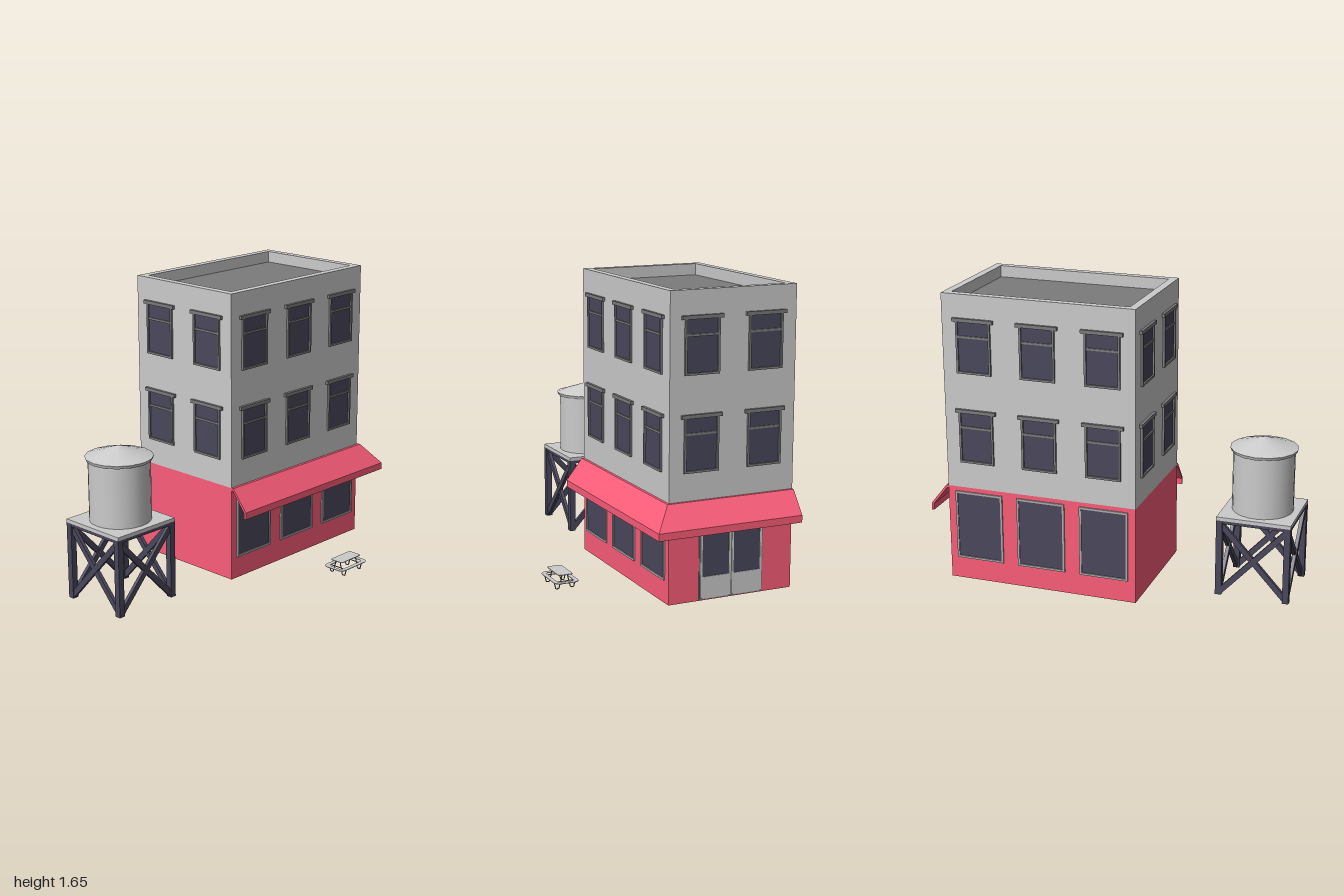
import * as THREE from 'three';

const mat = (color, opts = {}) => new THREE.MeshStandardMaterial({ color, ...opts });
const grey = mat(0xcccccc), red = mat(0xfb5d79), glass = mat(0x49475b), trim = mat(0x7c7c7c);
const shopTrim = mat(0xaaaaaa), awningRed = mat(0xfb5d79, { side: THREE.DoubleSide });

function add(parent, name, geometry, material, x = 0, y = 0, z = 0) {
  const m = new THREE.Mesh(geometry, material);
  m.name = name;
  m.position.set(x, y, z);
  parent.add(m);
  return m;
}
const box = (parent, name, material, w, h, d, x, y, z) =>
  add(parent, name, new THREE.BoxGeometry(w, h, d), material, x, y, z);

function group(parent, name, x = 0, y = 0, z = 0) {
  const g = new THREE.Group();
  g.name = name;
  g.position.set(x, y, z);
  parent.add(g);
  return g;
}

// Rectangle path with optional rounded corners, centred on the origin
function rect(PathType, w, h, r = 0) {
  const p = new PathType(), x = w / 2, y = h / 2;
  if (!r) {
    p.moveTo(-x, -y).lineTo(x, -y).lineTo(x, y).lineTo(-x, y).closePath();
    return p;
  }
  p.absarc(x - r, -y + r, r, -Math.PI / 2, 0);
  p.absarc(x - r, y - r, r, 0, Math.PI / 2);
  p.absarc(-x + r, y - r, r, Math.PI / 2, Math.PI);
  p.absarc(-x + r, -y + r, r, Math.PI, Math.PI * 1.5);
  p.closePath();
  return p;
}

// Plate with an optional rectangular opening; extruded along +z
function plate(w, h, depth, border = 0, r = 0) {
  const s = rect(THREE.Shape, w, h, r);
  if (border) s.holes.push(rect(THREE.Path, w - 2 * border, h - 2 * border, r * 0.6));
  return new THREE.ExtrudeGeometry(s, { depth, bevelEnabled: false, curveSegments: 5 });
}

// Sash window with a hood, standing on a wall whose outside is local +z
function sashWindow(wall, x, y) {
  const g = group(wall, 'window', x, y, 0);
  add(g, 'windowFrame', plate(0.2, 0.3, 0.012, 0.012), trim);
  box(g, 'windowGlass', glass, 0.18, 0.28, 0.004, 0, 0, 0.001);
  box(g, 'sashBar', trim, 0.18, 0.012, 0.008, 0, 0.055, 0.005);
  box(g, 'windowHood', trim, 0.236, 0.02, 0.016, 0, 0.148, 0.008);
}

function shopWindow(wall, x) {
  const g = group(wall, 'shopWindow', x, 0.325, 0);
  add(g, 'shopWindowFrame', plate(0.28, 0.4, 0.008, 0.012), shopTrim);
  box(g, 'shopWindowGlass', glass, 0.26, 0.38, 0.004, 0, 0, 0.001);
}

function doubleDoor(wall) {
  const g = group(wall, 'doubleDoor');
  box(g, 'doorFrame', trim, 0.38, 0.485, 0.006, 0, 0.2475, 0.001);
  for (const s of [-1, 1]) {
    add(g, 'doorLeaf', plate(0.18, 0.465, 0.006, 0.011), grey, s * 0.093, 0.2475, 0.002);
    box(g, 'doorPanel', grey, 0.16, 0.12, 0.006, s * 0.093, 0.07, 0.005);
    box(g, 'doorGlass', glass, 0.16, 0.34, 0.004, s * 0.093, 0.3, 0.003);
  }
}

// Mitred awning: one profile swept round the front right corner
function awningGeometry() {
  const profile = [[0, 0.55], [0.015, 0.55], [0.11, 0.43], [0.11, 0.39],
    [0.097, 0.39], [0.097, 0.425], [0.01, 0.535], [0, 0.535]];
  const path = [[-0.21, 0.145, 0, 1], [0.89, 0.145, 1, 1], [0.89, -0.59, 1, 0]];
  const rings = path.map(([x, z, dx, dz]) => profile.map(([d, y]) => [x + dx * d, y, z + dz * d]));
  const pos = [], n = profile.length;
  const tri = (a, b, c) => pos.push(...a, ...b, ...c);
  for (let i = 0; i < 2; i++) {
    for (let j = 0; j < n; j++) {
      const k = (j + 1) % n;
      tri(rings[i][j], rings[i][k], rings[i + 1][k]);
      tri(rings[i][j], rings[i + 1][k], rings[i + 1][j]);
    }
  }
  const caps = THREE.ShapeUtils.triangulateShape(profile.map(p => new THREE.Vector2(...p)), []);
  for (const [a, b, c] of caps) {
    tri(rings[0][a], rings[0][b], rings[0][c]);
    tri(rings[2][c], rings[2][b], rings[2][a]);
  }
  const g = new THREE.BufferGeometry();
  g.setAttribute('position', new THREE.Float32BufferAttribute(pos, 3));
  g.computeVertexNormals();
  return g;
}

function buildBuilding(root) {
  const b = group(root, 'building');
  const cx = 0.34, cz = -0.2225, w = 1.1, d = 0.735;
  box(b, 'shopStorey', red, w, 0.55, d, cx, 0.275, cz);
  box(b, 'upperStoreys', grey, w, 1.03, d, cx, 1.065, cz);
  add(b, 'parapet', plate(w, d, 0.07, 0.045), grey, cx, 1.58, cz).rotation.x = -Math.PI / 2;
  box(b, 'roofDeck', trim, w - 0.09, 0.01, d - 0.09, cx, 1.58, cz);
  add(b, 'awning', awningGeometry(), awningRed);

  // Four walls: position, turn, window offsets and ground floor fittings
  const wide = [-0.367, 0, 0.367], narrow = [-0.185, 0.185];
  const walls = [
    ['frontWall', cx, cz + d / 2, 0, wide, 'shop'],
    ['backWall', cx, cz - d / 2, Math.PI, wide, 'shop'],
    ['rightHandWall', cx + w / 2, cz, Math.PI / 2, narrow, 'door'],
    ['plainWall', cx - w / 2, cz, -Math.PI / 2, narrow, ''],
  ];
  for (const [name, x, z, turn, offsets, ground] of walls) {
    const wall = group(b, name, x, 0, z);
    wall.rotation.y = turn;
    for (const o of offsets) {
      for (const y of [0.85, 1.362]) sashWindow(wall, o, y);
      if (ground === 'shop') shopWindow(wall, o);
    }
    if (ground === 'door') doubleDoor(wall);
  }
}

function buildWaterTower(root) {
  const t = group(root, 'waterTower', -0.793, 0, -0.13);
  const e = 0.19, size = 0.415;
  box(t, 'platform', grey, size, 0.02, size, 0, 0.45, 0);
  // Each side has a leg, a top beam and a cross brace
  for (let i = 0; i < 4; i++) {
    const side = group(t, 'towerSide');
    side.rotation.y = i * Math.PI / 2;
    box(side, 'towerLeg', glass, 0.035, 0.44, 0.035, e, 0.22, e);
    box(side, 'topBeam', glass, 2 * e, 0.018, 0.03, 0, 0.431, e);
    for (const s of [-1, 1]) {
      const brace = box(side, 'crossBrace', glass, 0.555, 0.032, 0.02, 0, 0.215, e + s * 0.002);
      brace.rotation.z = s * Math.atan2(0.41, 0.38);
    }
  }
  add(t, 'tank', new THREE.CylinderGeometry(0.17, 0.17, 0.35, 24), grey, 0, 0.632, 0);
  add(t, 'tankRim', new THREE.CylinderGeometry(0.187, 0.18, 0.018, 16), grey, 0, 0.81, 0);
  add(t, 'tankRoof', new THREE.ConeGeometry(0.187, 0.06, 16), grey, 0, 0.848, 0);
}

function buildPicnicTable(root) {
  const t = group(root, 'picnicTable', 0.338, 0, 0.528);
  add(t, 'benchRing', plate(0.235, 0.142, 0.004, 0.024, 0.035), grey, 0, 0.043, 0).rotation.x = -Math.PI / 2;
  add(t, 'tableTop', plate(0.172, 0.084, 0.004, 0, 0.012), grey, 0, 0.08, 0).rotation.x = -Math.PI / 2;
  for (const x of [-0.068, 0.068]) {
    box(t, 'seatBar', trim, 0.004, 0.004, 0.13, x, 0.042, 0);
    // Bent tube from bench to ground and up to the table top
    for (const s of [-1, 1]) {
      const points = [[0.062, 0.044], [0.052, 0.004], [0.034, 0.004], [0.014, 0.081]]
        .map(([z, y]) => new THREE.Vector3(x, y, s * z));
      const path = new THREE.CurvePath();
      for (let i = 0; i < 3; i++) path.add(new THREE.LineCurve3(points[i], points[i + 1]));
      add(t, 'tableLeg', new THREE.TubeGeometry(path, 24, 0.003, 6), trim);
    }
  }
}

export function createModel() {
  const root = new THREE.Group();
  root.name = 'cornerShopScene';
  buildBuilding(root);
  buildWaterTower(root);
  buildPicnicTable(root);
  return root;
}
